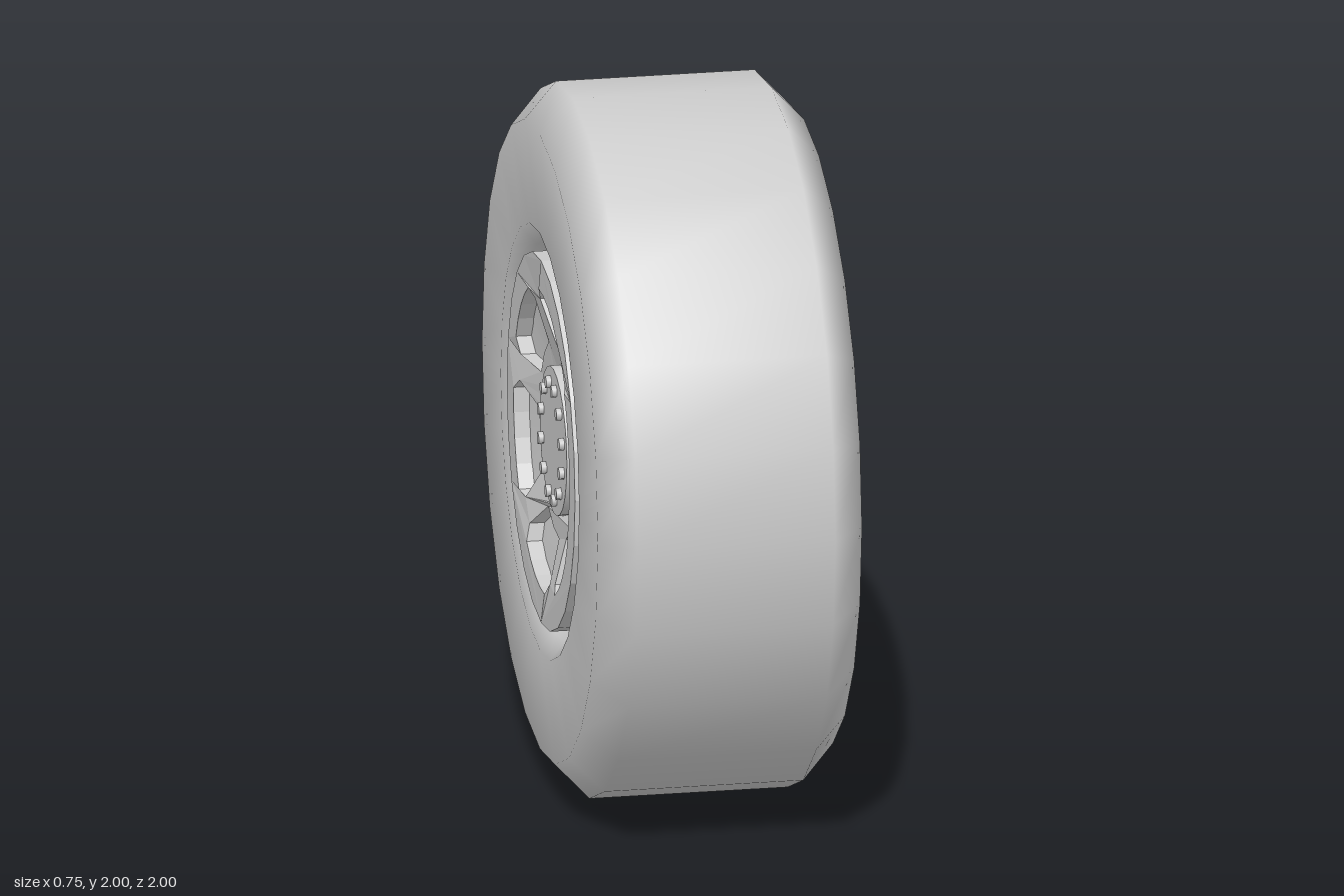
import * as THREE from 'three';

const material = new THREE.MeshStandardMaterial({ color: 0xcccccc });

function addMesh(parent, name, geometry) {
  const mesh = new THREE.Mesh(geometry, material);
  mesh.name = name;
  parent.add(mesh);
  return mesh;
}

const polar = (r, deg) => {
  const a = THREE.MathUtils.degToRad(deg);
  return new THREE.Vector2(r * Math.cos(a), r * Math.sin(a));
};

// Points on an arc, ends included
const arc = (r, from, to, steps) =>
  Array.from({ length: steps + 1 }, (_, i) => polar(r, from + ((to - from) * i) / steps));

// Flat-sided disc along z, from z0 to z1
function disc(radius, z0, z1, sides) {
  const g = new THREE.CylinderGeometry(radius, radius, z1 - z0, sides);
  g.rotateX(Math.PI / 2);
  g.translate(0, 0, (z0 + z1) / 2);
  return g;
}

export function createModel() {
  const model = new THREE.Group();
  model.name = 'wheel';

  // Tyre: closed flat inner side, dished opening on the outer side (-x)
  const profile = [
    [0, -0.373], [0.9, -0.373], [1, -0.28], [1, 0.28],
    [0.9, 0.373], [0.61, 0.373], [0.56, 0.33], [0.5, 0.25],
  ].map(([r, h]) => new THREE.Vector2(r, h));
  const tyre = addMesh(model, 'tyre', new THREE.LatheGeometry(profile, 24));
  tyre.rotation.z = Math.PI / 2;
  tyre.position.y = 1;

  // Rim assembly, modelled facing +z and turned to face -x
  const rim = new THREE.Group();
  rim.name = 'rim';
  rim.rotation.y = -Math.PI / 2;
  rim.position.y = 1;
  model.add(rim);

  // Spoke plate: six rounded wedge windows and a central hole under the hub
  const plate = new THREE.Shape(arc(0.53, 0, 345, 23));
  plate.holes.push(new THREE.Path(arc(0.19, 0, 345, 23)));
  for (let i = 0; i < 6; i++) {
    const mid = 17 + i * 60;
    plate.holes.push(new THREE.Path([
      ...arc(0.435, mid - 19, mid + 19, 4),
      polar(0.4, mid + 24),
      ...arc(0.28, mid + 18, mid - 18, 2),
      polar(0.4, mid - 24),
    ]));
  }
  const plateGeometry = new THREE.ExtrudeGeometry(plate, { depth: 0.1, bevelEnabled: false });
  // Dish the plate towards the hub
  const dish = (r) => -0.07 * THREE.MathUtils.clamp((0.44 - r) / 0.24, 0, 1);
  const pos = plateGeometry.attributes.position;
  for (let i = 0; i < pos.count; i++) {
    pos.setZ(i, pos.getZ(i) + 0.27 + dish(Math.hypot(pos.getX(i), pos.getY(i))));
  }
  plateGeometry.computeVertexNormals();
  addMesh(rim, 'spokePlate', plateGeometry);

  // Shallow surface closing the windows
  const backing = new THREE.LatheGeometry(
    [new THREE.Vector2(0.525, 0.325), new THREE.Vector2(0.44, 0.325), new THREE.Vector2(0.15, 0.25)], 24);
  backing.rotateX(Math.PI / 2);
  addMesh(rim, 'windowBacking', backing);

  // Barrel joining the plate to the tyre
  const barrel = new THREE.CylinderGeometry(0.53, 0.53, 0.1, 24, 1, true);
  barrel.rotateX(Math.PI / 2);
  barrel.rotateZ(Math.PI / 2);
  barrel.translate(0, 0, 0.24);
  addMesh(rim, 'barrel', barrel);

  // Hub cap with a ring of bolts
  addMesh(rim, 'hub', disc(0.21, 0.25, 0.335, 24));
  for (let i = 0; i < 12; i++) {
    const p = polar(0.165, i * 30 + 15);
    const bolt = addMesh(rim, 'bolt', disc(0.018, 0.325, 0.35, 6));
    bolt.position.set(p.x, p.y, 0);
  }
  return model;
}
